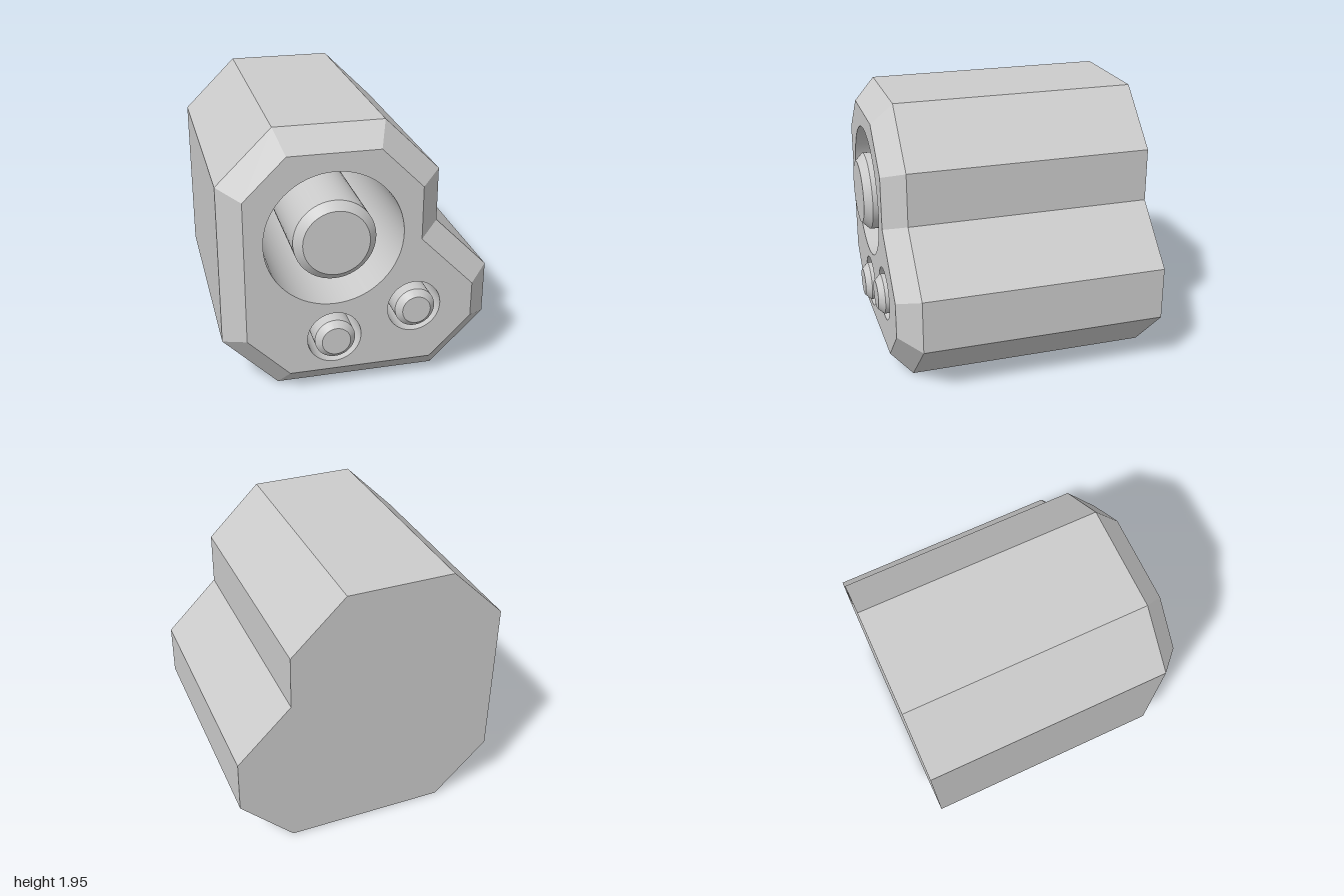
import * as THREE from 'three';
import { toCreasedNormals } from 'three/addons/utils/BufferGeometryUtils.js';

const SEGMENTS = 64;
const BACK = -1, SHOULDER = 0.785, FACE = 0.94, TIP = 1, FLOOR = -0.8;

// Body outline, counter-clockwise seen from the front
const outline = [
  [-0.58, 0], [0.58, 0], [0.97, 0.39], [0.97, 0.78], [0.58, 1.17],
  [0.58, 1.56], [0.19, 1.945], [-0.58, 1.945], [-0.97, 1.56], [-0.97, 0.39],
].map(([x, y]) => new THREE.Vector2(x, y));

// Round sockets, each holding a chamfered pin
const sockets = [
  { name: 'large', x: -0.195, y: 1.17, hole: 0.49, pin: 0.29, tip: 0.233, chamfer: 0.943 },
  { name: 'smallLower', x: -0.195, y: 0.41, hole: 0.194, pin: 0.145, tip: 0.102, chamfer: 0.957 },
  { name: 'smallSide', x: 0.385, y: 0.585, hole: 0.194, pin: 0.145, tip: 0.102, chamfer: 0.957 },
];

// Moves every edge of a polygon inwards by d
function inset(points, d) {
  const n = points.length;
  return points.map((p, i) => {
    const a = p.clone().sub(points[(i + n - 1) % n]).normalize();
    const b = points[(i + 1) % n].clone().sub(p).normalize();
    const na = new THREE.Vector2(-a.y, a.x), nb = new THREE.Vector2(-b.y, b.x);
    const k = d / (1 + na.dot(nb));
    return p.clone().add(na.add(nb).multiplyScalar(k));
  });
}

// Flat band of quads joining two outlines at different depths
function band(rear, zRear, front, zFront) {
  const pos = [];
  rear.forEach((p, i) => {
    const j = (i + 1) % rear.length;
    const a = [p.x, p.y, zRear], b = [rear[j].x, rear[j].y, zRear];
    const c = [front[j].x, front[j].y, zFront], d = [front[i].x, front[i].y, zFront];
    pos.push(...a, ...b, ...c, ...a, ...c, ...d);
  });
  const g = new THREE.BufferGeometry();
  g.setAttribute('position', new THREE.Float32BufferAttribute(pos, 3));
  g.computeVertexNormals();
  return g;
}

export function createModel() {
  const model = new THREE.Group();
  model.name = 'socketBlock';
  const material = new THREE.MeshStandardMaterial({ color: 0xcccccc });
  const add = (name, geometry) => {
    const mesh = new THREE.Mesh(geometry, material);
    mesh.name = name;
    model.add(mesh);
    return mesh;
  };

  // Prismatic body with a bevelled front edge
  const inner = inset(outline, 0.155);
  add('bodySides', band(outline, BACK, outline, SHOULDER));
  add('frontBevel', band(outline, SHOULDER, inner, FACE));

  // Back plate, mirrored so that it faces rearwards
  const backShape = new THREE.Shape(outline.map((p) => new THREE.Vector2(-p.x, p.y)));
  add('backPlate', new THREE.ShapeGeometry(backShape).rotateY(Math.PI).translate(0, 0, BACK));

  // Front plate pierced by the sockets
  const frontShape = new THREE.Shape(inner);
  for (const s of sockets) {
    frontShape.holes.push(new THREE.Path().absarc(s.x, s.y, s.hole, 0, Math.PI * 2, true));
  }
  add('frontPlate', new THREE.ShapeGeometry(frontShape, SEGMENTS / 2).translate(0, 0, FACE));

  // Socket wall and floor, then the pin rising from the floor
  for (const s of sockets) {
    const lathe = (profile) => toCreasedNormals(
      new THREE.LatheGeometry(profile.map(([r, z]) => new THREE.Vector2(r, z)), SEGMENTS)
        .rotateX(Math.PI / 2), 0.5);
    const well = add(`${s.name}Socket`, lathe([[s.hole, FACE], [s.hole, FLOOR], [s.pin, FLOOR]]));
    const pin = add(`${s.name}Pin`, lathe([[s.pin, FLOOR], [s.pin, s.chamfer], [s.tip, TIP], [0, TIP]]));
    well.position.set(s.x, s.y, 0);
    pin.position.set(s.x, s.y, 0);
  }
  return model;
}
